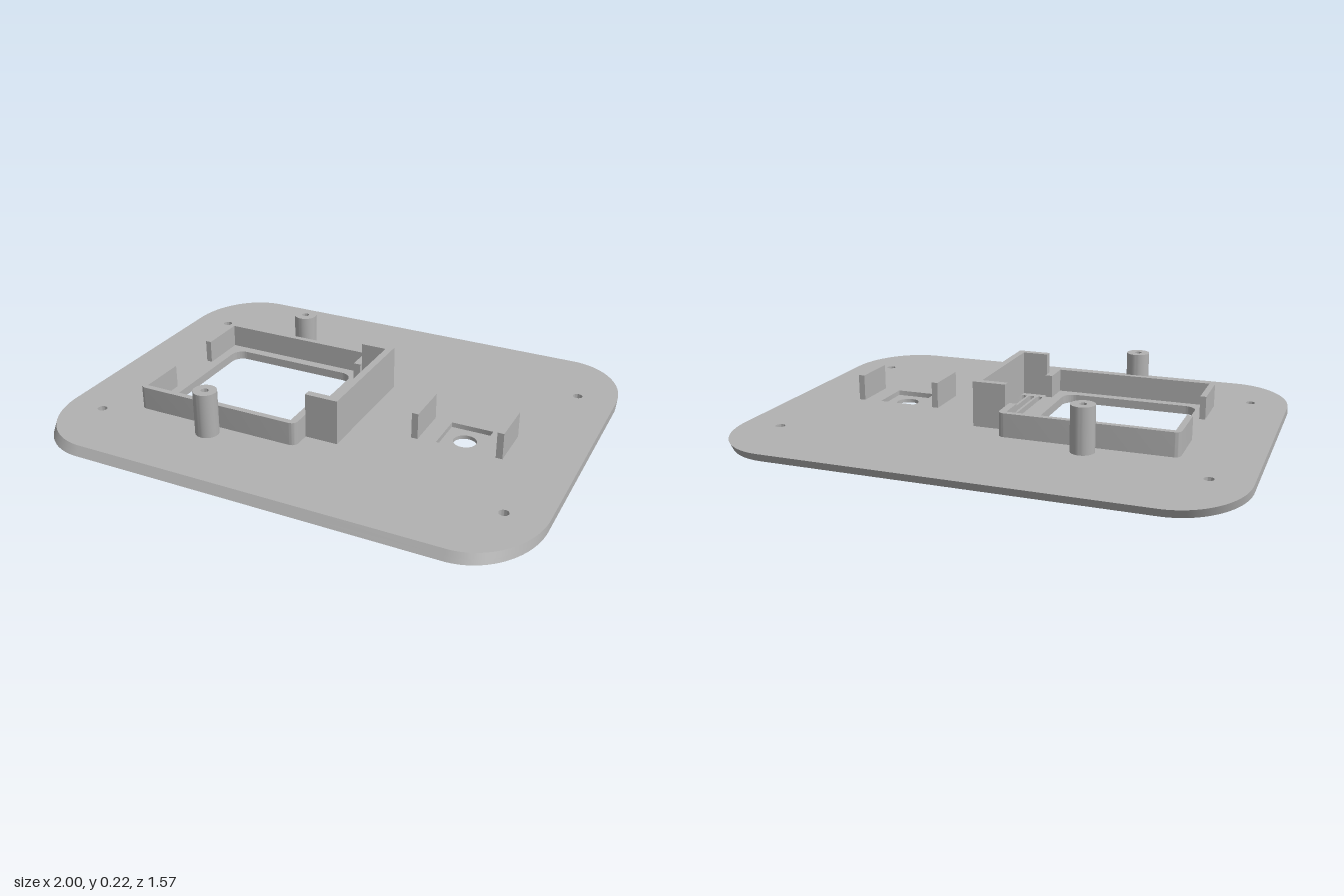
import * as THREE from 'three';
import { toCreasedNormals } from 'three/addons/utils/BufferGeometryUtils.js';

const TOP = 0.035, MID = 0.015, SLANT = 0.022;

// Outlines are drawn as (x, -z) and extruded upward.
function roundedRect(x0, x1, z0, z1, rx, rz = rx, Type = THREE.Shape) {
  const p = new Type();
  const a = -z1, b = -z0;
  p.moveTo(x0 + rx, a);
  p.lineTo(x1 - rx, a);
  p.absellipse(x1 - rx, a + rz, rx, rz, -Math.PI / 2, 0);
  p.lineTo(x1, b - rz);
  p.absellipse(x1 - rx, b - rz, rx, rz, 0, Math.PI / 2);
  p.lineTo(x0 + rx, b);
  p.absellipse(x0 + rx, b - rz, rx, rz, Math.PI / 2, Math.PI);
  p.lineTo(x0, a + rz);
  p.absellipse(x0 + rx, a + rz, rx, rz, Math.PI, Math.PI * 1.5);
  return p;
}

function circle(x, z, r, Type = THREE.Path) {
  const p = new Type();
  p.absarc(x, -z, r, 0, Math.PI * 2);
  return p;
}

function polygon(points) {
  return new THREE.Shape(points.map(([x, z]) => new THREE.Vector2(x, -z)));
}

function extrudeUp(shape, y0, y1) {
  const g = new THREE.ExtrudeGeometry(shape, { depth: y1 - y0, bevelEnabled: false, curveSegments: 20 });
  g.rotateX(-Math.PI / 2);
  g.translate(0, y0, 0);
  return g;
}

export function createModel() {
  const model = new THREE.Group();
  model.name = 'mountingPanel';
  const grey = new THREE.MeshStandardMaterial({ color: 0xb2b2b2 });
  grey.name = 'grey plastic';

  function add(name, geometry) {
    const mesh = new THREE.Mesh(toCreasedNormals(geometry, 0.5), grey);
    mesh.name = name;
    model.add(mesh);
  }

  // Plate layer with its openings; only the outer rim slants backward.
  function plateLayer(name, y0, y1, sensorHole) {
    const shape = roundedRect(-1, 1, -0.763, 0.785, 0.26, 0.31);
    shape.holes.push(roundedRect(-0.647, -0.073, -0.233, 0.343, 0.05, 0.05, THREE.Path));
    for (const x of [0.017, 0.053, 0.089])
      shape.holes.push(roundedRect(x - 0.013, x + 0.013, -0.15, 0.262, 0.0129, 0.0129, THREE.Path));
    for (const x of [-0.846, 0.844])
      for (const z of [-0.468, 0.484]) shape.holes.push(circle(x, z, 0.019));
    shape.holes.push(sensorHole);
    const g = extrudeUp(shape, y0, y1);
    const p = g.attributes.position;
    for (let i = 0; i < p.count; i++) {
      if (Math.abs(p.getX(i)) > 0.9 || Math.abs(p.getZ(i)) > 0.55)
        p.setZ(i, p.getZ(i) - SLANT * p.getY(i) / TOP);
    }
    g.computeVertexNormals();
    add(name, g);
  }
  plateLayer('plateBottom', 0, MID, circle(0.546, 0.055, 0.046));
  plateLayer('plateTop', MID, TOP, roundedRect(0.46, 0.63, -0.03, 0.141, 0.001, 0.001, THREE.Path));

  // Rounded U-shaped walls at the back and front of the window
  function frameWall(name, zOut, zLeft, zRight, s) {
    const x0 = -0.71, x1 = -0.004, t = 0.024, r = 0.03;
    const shape = new THREE.Shape();
    const at = (z) => -z;
    shape.moveTo(x0, at(zLeft));
    shape.lineTo(x0, at(zOut + s * r));
    shape.quadraticCurveTo(x0, at(zOut), x0 + r, at(zOut));
    shape.lineTo(x1 - r, at(zOut));
    shape.quadraticCurveTo(x1, at(zOut), x1, at(zOut + s * r));
    shape.lineTo(x1, at(zRight));
    shape.lineTo(x1 - 0.03, at(zRight));
    shape.lineTo(x1 - 0.03, at(zOut + s * t));
    shape.lineTo(x0 + t, at(zOut + s * t));
    shape.lineTo(x0 + t, at(zLeft));
    shape.closePath();
    add(name, extrudeUp(shape, TOP, 0.13));
  }
  frameWall('backFrameWall', -0.297, -0.078, -0.163, 1);
  frameWall('frontFrameWall', 0.407, 0.186, 0.272, -1);

  // Tall bracket around the vent slots
  add('ventBracket', extrudeUp(polygon([
    [-0.004, -0.21], [0.13, -0.21], [0.13, 0.322], [-0.004, 0.322],
    [-0.004, 0.292], [0.102, 0.292], [0.102, -0.18], [-0.004, -0.18],
  ]), TOP, 0.217));

  // Hollow screw posts
  for (const [name, z] of [['backPost', -0.349], ['frontPost', 0.461]]) {
    const ring = circle(-0.36, z, 0.047, THREE.Shape);
    ring.holes.push(circle(-0.36, z, 0.015));
    add(name, extrudeUp(ring, TOP, 0.217));
  }

  // Upright tabs either side of the recess
  for (const [name, x] of [['rightTab', 0.375], ['leftTab', 0.714]]) {
    const tab = new THREE.BoxGeometry(0.026, 0.142 - TOP, 0.188);
    tab.translate(x, (TOP + 0.142) / 2, 0.057);
    add(name, tab);
  }
  return model;
}
